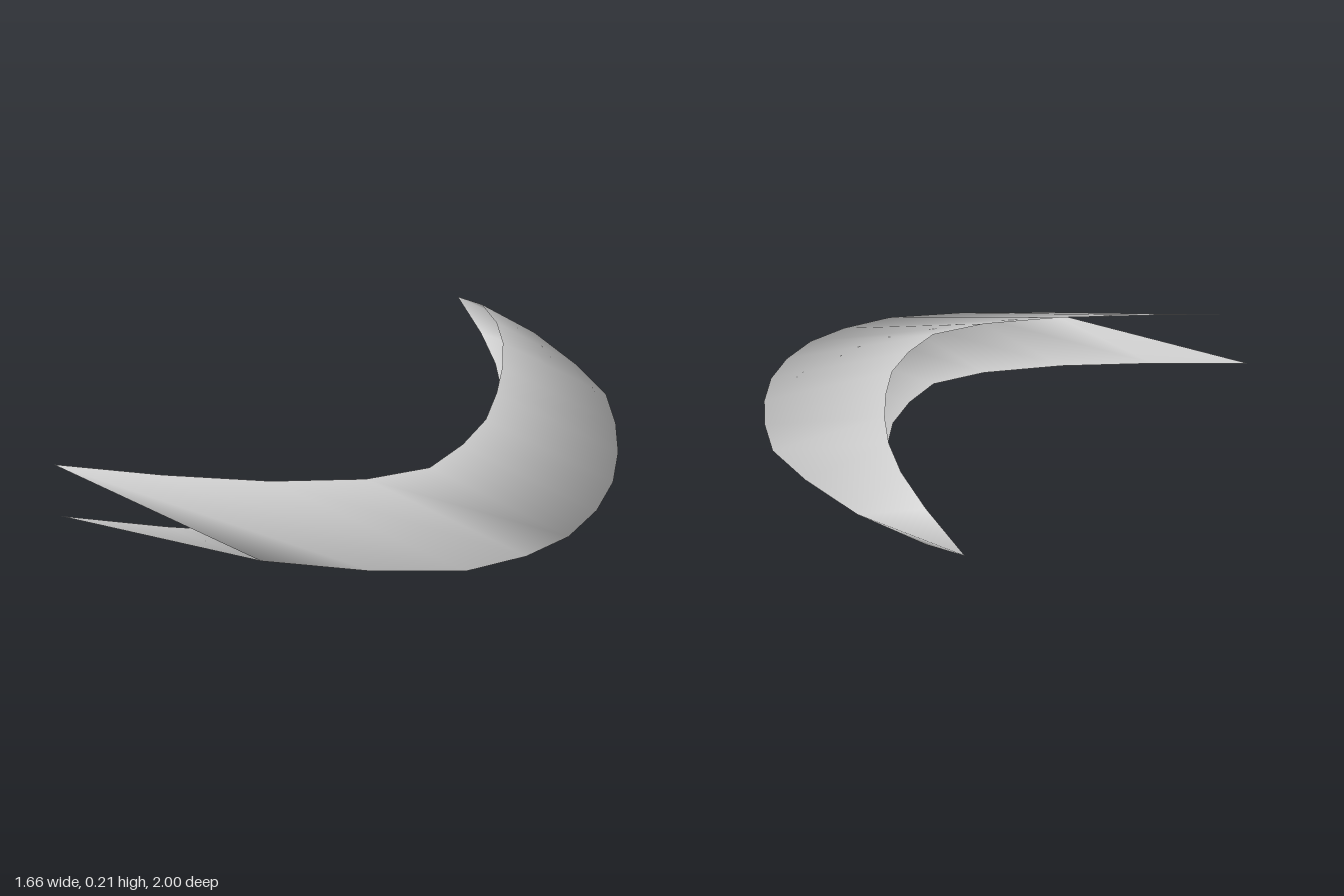
import * as THREE from 'three';

// Cross-sections from the tip to the open end: z, inner edge x, outer ridge x, half height
const sections = [
  [-1, -0.35, -0.35, 0],
  [-0.87, -0.17, 0.07, 0.066],
  [-0.71, -0.02, 0.33, 0.092],
  [-0.55, 0.09, 0.53, 0.105],
  [-0.37, 0.18, 0.65, 0.105],
  [-0.19, 0.25, 0.74, 0.105],
  [0, 0.305, 0.805, 0.105],
  [0.19, 0.315, 0.83, 0.105],
  [0.38, 0.29, 0.815, 0.105],
  [0.55, 0.14, 0.745, 0.105],
  [0.72, -0.13, 0.615, 0.105],
  [0.87, -0.47, 0.355, 0.105],
  [1, -0.83, 0.015, 0.105],
];
const midY = 0.105;

// Curved shell with a V-shaped section: upper edge, outer ridge, lower edge
function shellGeometry() {
  const positions = [];
  const indices = [];
  for (const [z, inner, ridge, half] of sections) {
    positions.push(inner, midY + half, z, ridge, midY, z, inner, midY - half, z);
  }
  for (let i = 0; i < sections.length - 1; i++) {
    for (let j = 0; j < 2; j++) {
      const a = i * 3 + j;
      const b = a + 3;
      if (i === 0) {
        indices.push(b, b + 1, 1); // all faces meet in one point at the tip
      } else {
        indices.push(a, b, a + 1, b, b + 1, a + 1);
      }
    }
  }
  const geometry = new THREE.BufferGeometry();
  geometry.setAttribute('position', new THREE.Float32BufferAttribute(positions, 3));
  geometry.setIndex(indices);
  geometry.computeVertexNormals();
  return geometry;
}

export function createModel() {
  const group = new THREE.Group();
  group.name = 'crescentBlade';

  const grey = new THREE.MeshStandardMaterial({ color: 0xcccccc, side: THREE.DoubleSide });
  grey.name = 'light grey';

  const shell = new THREE.Mesh(shellGeometry(), grey);
  shell.name = 'bladeShell';
  group.add(shell);
  return group;
}
